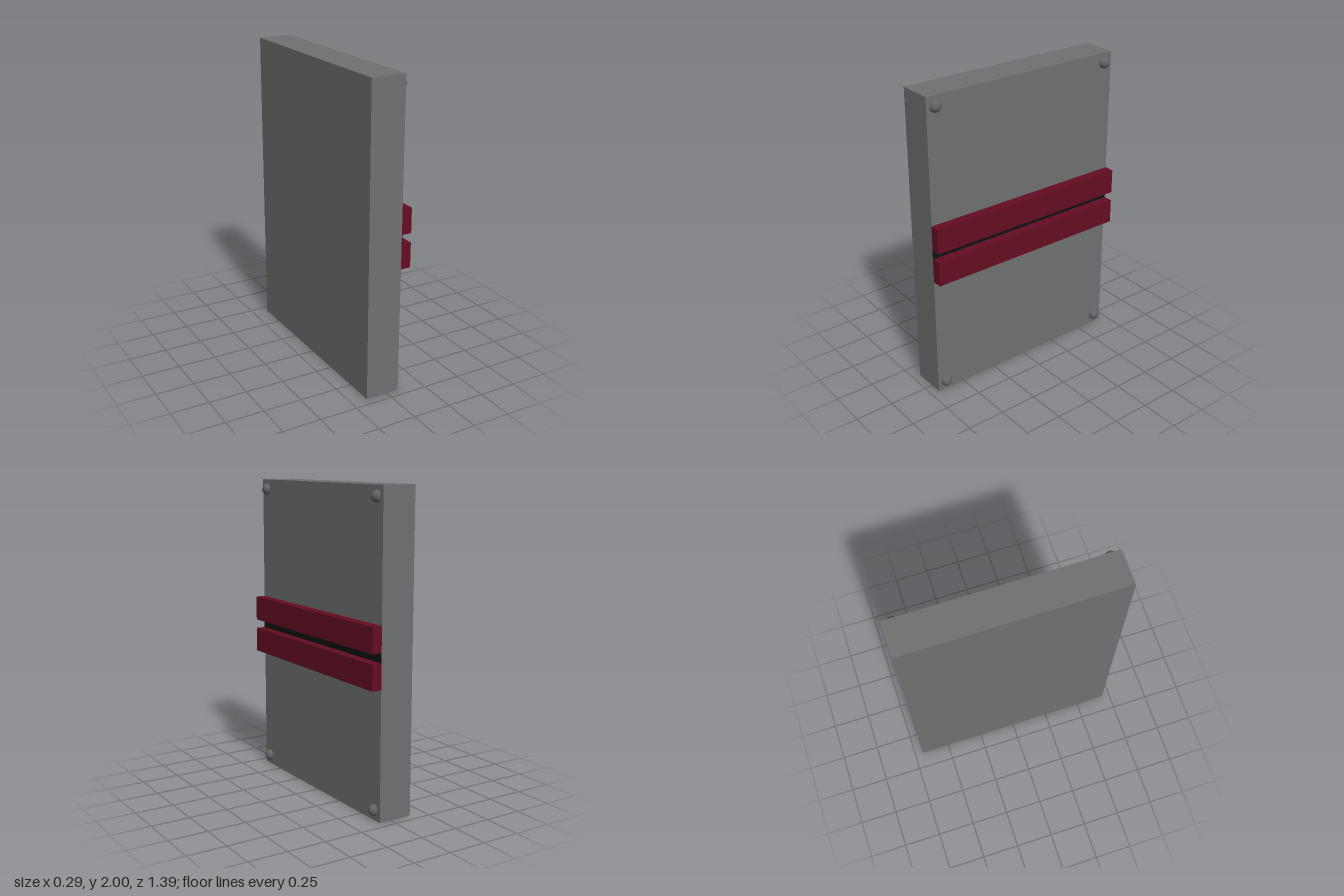
import * as THREE from 'three';

export function createModel() {
  const group = new THREE.Group();
  const material = (name, color) => {
    const m = new THREE.MeshStandardMaterial({ color });
    m.name = name;
    return m;
  };
  const steel = material('steel grey', 0x6e7170);
  const boltGrey = material('bolt grey', 0x626464);
  const red = material('dark red', 0x640d22);
  const black = material('black', 0x111113);

  const depth = 1.39;
  const faceX = 0.08;

  const add = (name, geometry, mat, x, y, z = 0) => {
    const mesh = new THREE.Mesh(geometry, mat);
    mesh.name = name;
    mesh.position.set(x, y, z);
    group.add(mesh);
  };

  // Upright slab
  add('panel', new THREE.BoxGeometry(0.225, 2, depth), steel, faceX - 0.1125, 1);

  // Two raised rails with a dark strip in the gap
  const rail = new THREE.BoxGeometry(0.065, 0.16, depth);
  add('lowerRail', rail, red, faceX + 0.0325, 0.9);
  add('upperRail', rail, red, faceX + 0.0325, 1.12);
  add('gapStrip', new THREE.BoxGeometry(0.004, 0.06, depth), black, faceX + 0.002, 1.01);

  // Domed bolts, half sunk into the corners of the face
  const dome = new THREE.SphereGeometry(0.037, 24, 16);
  for (const y of [0.065, 1.935]) {
    for (const z of [-0.636, 0.636]) add('cornerBolt', dome, boltGrey, faceX, y, z);
  }
  return group;
}
